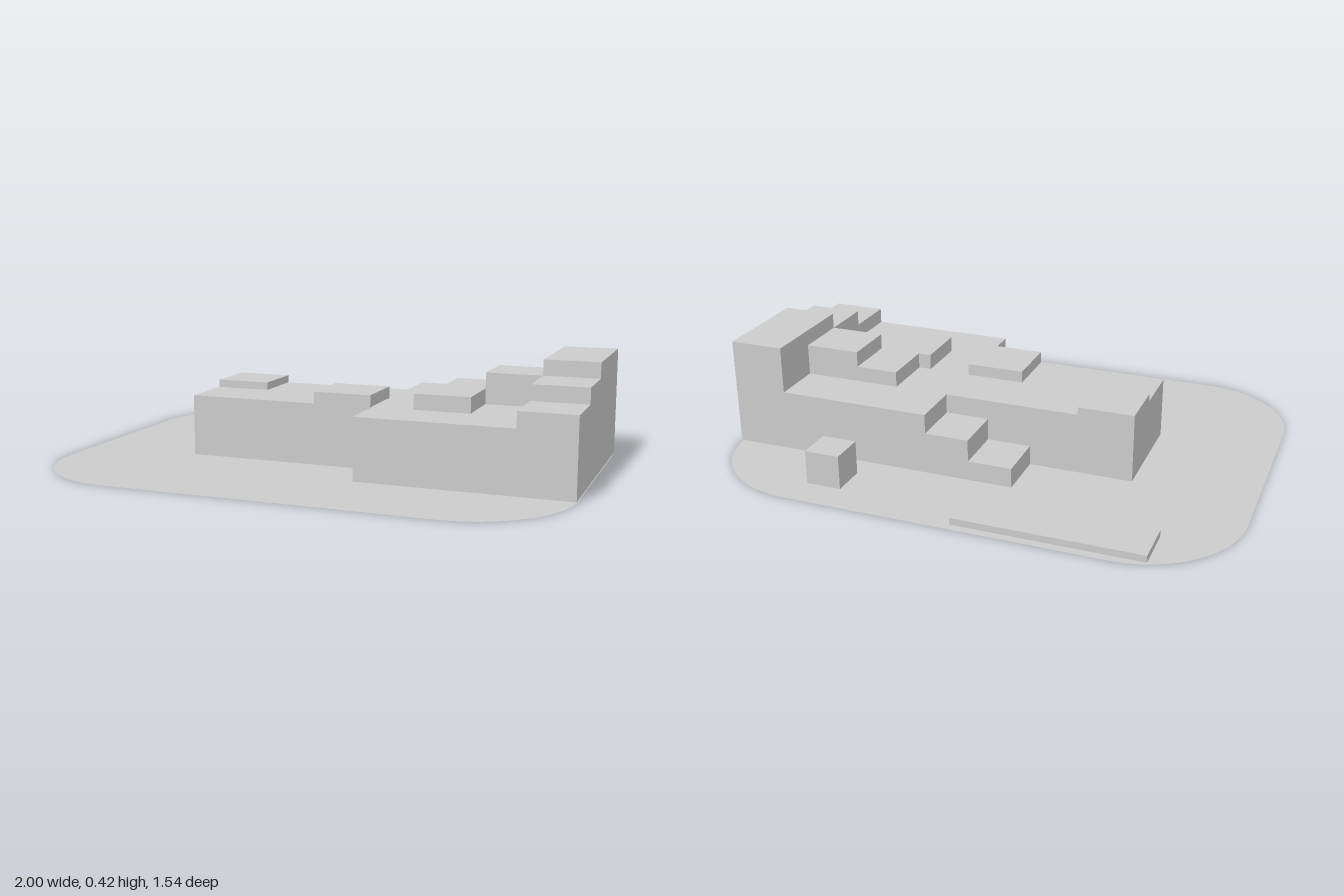
import * as THREE from 'three';

const concrete = new THREE.MeshStandardMaterial({ color: 0xcccccc, side: THREE.DoubleSide });
concrete.name = 'light grey';

const GROUND = 0.004; // buildings sit just above the ground sheet
const ROOF = 0.24;    // height of the main roof

// Box given by its extents on each axis
function block(name, x0, x1, z0, z1, top, bottom = GROUND) {
  const geometry = new THREE.BoxGeometry(x1 - x0, top - bottom, z1 - z0);
  const mesh = new THREE.Mesh(geometry, concrete);
  mesh.position.set((x0 + x1) / 2, (top + bottom) / 2, (z0 + z1) / 2);
  mesh.name = name;
  return mesh;
}

// Prism with an outline in x and z
function prism(name, outline, top, bottom = GROUND) {
  const shape = new THREE.Shape(outline.map(([x, z]) => new THREE.Vector2(x, -z)));
  const geometry = new THREE.ExtrudeGeometry(shape, { depth: top - bottom, bevelEnabled: false });
  geometry.rotateX(-Math.PI / 2);
  const mesh = new THREE.Mesh(geometry, concrete);
  mesh.position.y = bottom;
  mesh.name = name;
  return mesh;
}

// Thin ground sheet with rounded corners
function groundSheet(w, d, r) {
  const shape = new THREE.Shape();
  shape.absarc(w - r, d - r, r, 0, Math.PI / 2);
  shape.absarc(r - w, d - r, r, Math.PI / 2, Math.PI);
  shape.absarc(r - w, r - d, r, Math.PI, Math.PI * 1.5);
  shape.absarc(w - r, r - d, r, Math.PI * 1.5, Math.PI * 2);
  const geometry = new THREE.ShapeGeometry(shape, 16);
  geometry.rotateX(-Math.PI / 2);
  const mesh = new THREE.Mesh(geometry, concrete);
  mesh.name = 'ground';
  return mesh;
}

export function createModel() {
  const model = new THREE.Group();
  model.name = 'buildingSite';
  model.add(groundSheet(1, 0.77, 0.39));

  // Main building: narrow wing on the right, wide wing on the left
  model.add(prism('mainBuilding', [
    [-0.54, 0.21], [0.2, 0.21], [0.2, 0.41], [1, 0.41],
    [1, -0.42], [0.2, -0.42], [0.2, -0.22], [-0.54, -0.22],
  ], ROOF));

  // Stepped storeys along the left side
  const storeys = new THREE.Group();
  storeys.name = 'steppedStoreys';
  storeys.add(
    block('highStorey', 0.79, 1, -0.42, -0.01, 0.42, ROOF),
    block('middleStorey', 0.79, 1, -0.01, 0.2, 0.36, ROOF),
    block('lowStorey', 0.79, 1, 0.2, 0.41, 0.3, ROOF),
  );
  model.add(storeys);

  // Rooftop rooms
  const rooftop = new THREE.Group();
  rooftop.name = 'rooftopRooms';
  rooftop.add(
    block('cornerRoom', -0.54, -0.325, -0.22, -0.01, 0.27, ROOF),
    block('frontRoom', -0.03, 0.195, -0.01, 0.21, 0.285, ROOF),
    block('tallRoom', 0.575, 0.79, -0.22, -0.01, 0.36, ROOF),
    prism('steppedRoom', [
      [0.36, 0.2], [0.575, 0.2], [0.575, -0.22],
      [0.41, -0.22], [0.41, -0.01], [0.36, -0.01],
    ], 0.3, ROOF),
  );
  model.add(rooftop);

  // Terraces stepping down at the back
  model.add(
    block('upperTerrace', 0.03, 0.2, -0.42, -0.22, 0.165),
    block('lowerTerrace', -0.14, 0.03, -0.42, -0.22, 0.08),
  );

  // Separate pieces in the back yard
  model.add(
    block('shed', 0.44, 0.575, -0.65, -0.515, 0.135),
    block('lowPlatform', -0.735, -0.035, -0.745, -0.57, 0.03),
  );
  return model;
}
